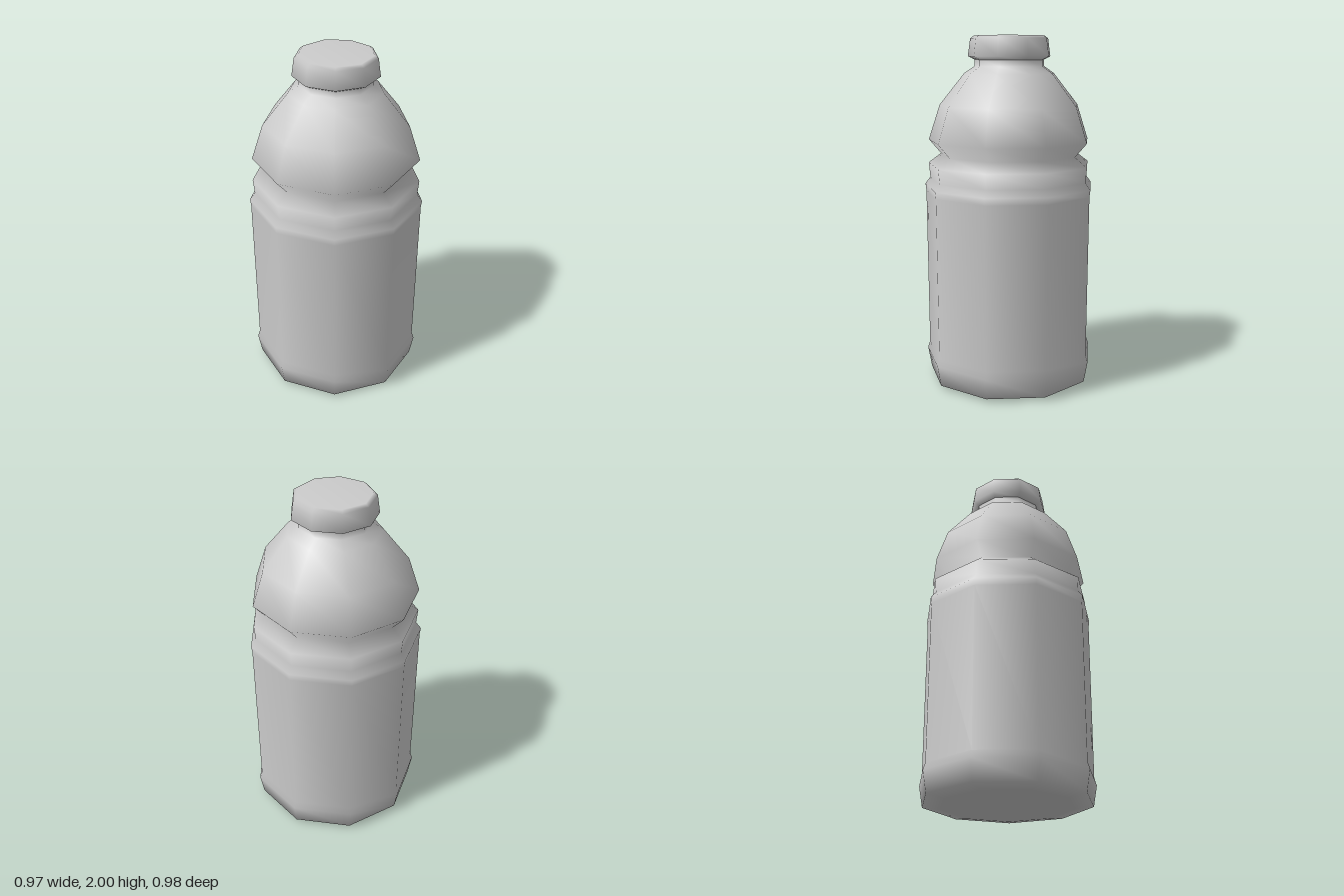
import * as THREE from 'three';

const SIDES = 9;
const material = new THREE.MeshStandardMaterial({ color: 0xcccccc });

// Nine-sided turned part with one corner pointing to -x; profile is [radius, height] from bottom to top
function turned(name, profile) {
  const points = profile.map(([r, y]) => new THREE.Vector2(r, y));
  const mesh = new THREE.Mesh(new THREE.LatheGeometry(points, SIDES, -Math.PI / 2), material);
  mesh.name = name;
  return mesh;
}

export function createModel() {
  const group = new THREE.Group();
  group.name = 'bottle';

  // Base, label panel, grip ring, waist groove, domed shoulder and neck
  group.add(turned('bottleBody', [
    [0, 0], [0.375, 0.005], [0.478, 0.02],
    [0.5, 0.14], [0.487, 0.18],
    [0.493, 1.11], [0.498, 1.15],
    [0.468, 1.19], [0.476, 1.275],
    [0.403, 1.33], [0.473, 1.41],
    [0.407, 1.61], [0.262, 1.79],
    [0.202, 1.83], [0.202, 1.87],
  ]));

  // Screw cap, slightly narrower at the top
  group.add(turned('cap', [
    [0.2, 1.865], [0.24, 1.885], [0.226, 1.985], [0.205, 2], [0, 2],
  ]));

  // The odd number of sides is off-centre in x, so shift to balance
  group.children.forEach((part) => { part.position.x = 0.012; });
  return group;
}
